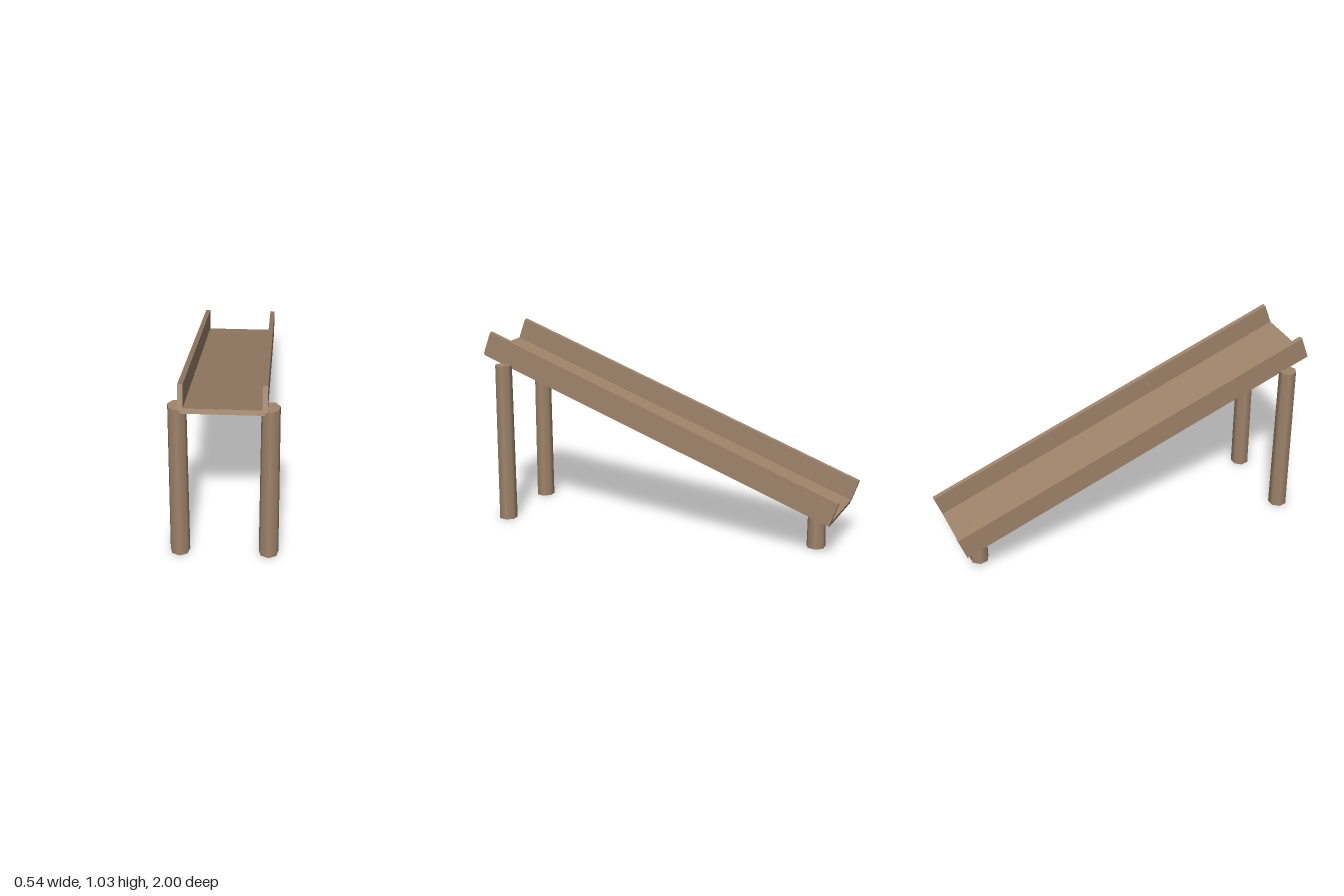
import * as THREE from 'three';

export function createModel() {
  const model = new THREE.Group();
  model.name = 'woodenSlide';
  const wood = new THREE.MeshStandardMaterial({ color: 0xa0856c });
  wood.name = 'wood';

  const add = (parent, name, geometry, x, y, z) => {
    const mesh = new THREE.Mesh(geometry, wood);
    mesh.name = name;
    mesh.position.set(x, y, z);
    parent.add(mesh);
  };

  // Sloping chute: floor board with a side board along each edge
  const length = 2.076;
  const chute = new THREE.Group();
  chute.name = 'chute';
  chute.position.y = 0.61;
  chute.rotation.x = -THREE.MathUtils.degToRad(20);
  model.add(chute);
  add(chute, 'floorBoard', new THREE.BoxGeometry(0.388, 0.025, length), 0, -0.057, 0);
  for (const [side, s] of [['left', 1], ['right', -1]]) {
    add(chute, side + 'SideBoard', new THREE.BoxGeometry(0.025, 0.1265, length), s * 0.194, 0.00625, 0);
  }

  // Tapered seven-sided log posts standing on the ground
  const addPost = (name, x, z, height, topRadius) =>
    add(model, name, new THREE.CylinderGeometry(topRadius, 0.05, height, 7), x, height / 2, z);
  addPost('leftTallPost', 0.22, 0.87, 0.862, 0.046);
  addPost('rightTallPost', -0.22, 0.87, 0.862, 0.046);
  addPost('shortPost', 0, -0.83, 0.246, 0.046);

  return model;
}
